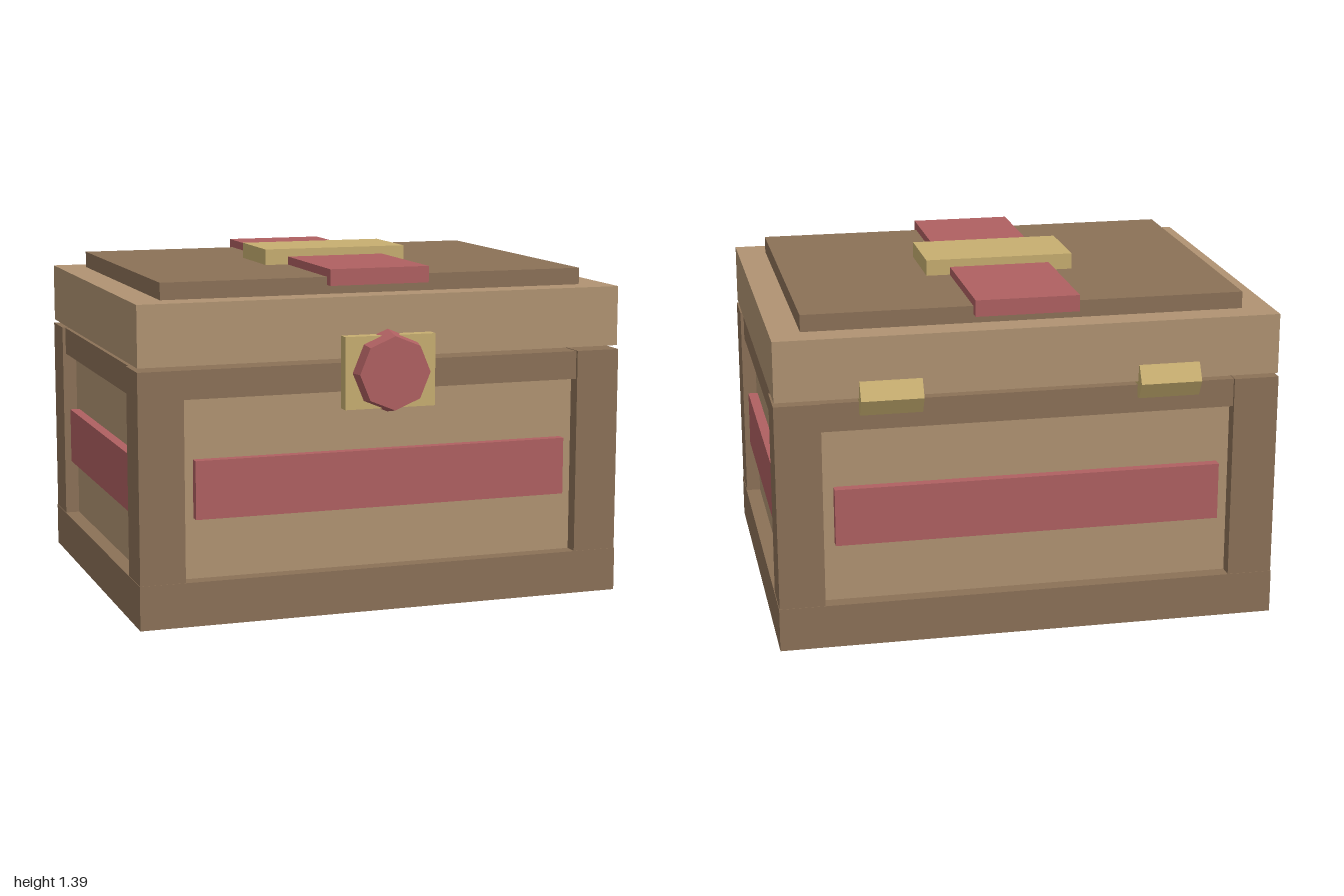
import * as THREE from 'three';

const material = (name, color) => {
  const m = new THREE.MeshStandardMaterial({ color });
  m.name = name;
  return m;
};

export function createModel() {
  const darkWood = material('dark wood', 0x8b7157);
  const lightWood = material('light wood', 0xb09372);
  const red = material('red paint', 0xaf6061);
  const brass = material('brass', 0xc7ae70);

  const chest = new THREE.Group();
  chest.name = 'chest';

  // Box given by its lower and upper corners
  const box = (name, mat, [x0, y0, z0], [x1, y1, z1], parent = chest) => {
    const mesh = new THREE.Mesh(new THREE.BoxGeometry(x1 - x0, y1 - y0, z1 - z0), mat);
    mesh.position.set((x0 + x1) / 2, (y0 + y1) / 2, (z0 + z1) / 2);
    mesh.name = name;
    parent.add(mesh);
    return mesh;
  };

  // Body, built symmetric and then shifted slightly back
  const body = new THREE.Group();
  body.name = 'body';
  body.position.z = -0.025;
  chest.add(body);
  const X = 1, Z = 0.78, recess = 0.06, post = 0.18;

  box('base', darkWood, [-X, 0, -Z], [X, 0.175, Z], body);
  box('panels', lightWood, [-X + recess, 0.17, -Z + recess], [X - recess, 0.99, Z - recess], body);
  box('topRail', darkWood, [-X + 0.015, 0.885, -Z + 0.015], [X - 0.015, 0.998, Z - 0.015], body);

  // Corner posts
  for (const sx of [-1, 1]) {
    for (const sz of [-1, 1]) {
      const p = box('cornerPost', darkWood, [-post / 2, 0.17, -post / 2], [post / 2, 1, post / 2], body);
      p.position.x = sx * (X - 0.002 - post / 2);
      p.position.z = sz * (Z - 0.002 - post / 2);
    }
  }

  // Painted boards on all four sides
  for (const s of [-1, 1]) {
    const long = box('longBoard', red, [-0.77, 0.415, -0.03], [0.77, 0.645, 0.03], body);
    long.position.z = s * (Z - recess + 0.01);
    const short = box('shortBoard', red, [-0.03, 0.415, -0.55], [0.03, 0.645, 0.55], body);
    short.position.x = s * (X - recess + 0.01);
  }

  // Lid
  const lid = new THREE.Group();
  lid.name = 'lid';
  chest.add(lid);
  box('lidSlab', lightWood, [-0.995, 1.015, -0.8], [0.995, 1.255, 0.745], lid);
  box('lidPanel', darkWood, [-0.875, 1.25, -0.685], [0.875, 1.322, 0.63], lid);
  box('lidStrap', red, [-0.205, 1.29, -0.73], [0.205, 1.355, 0.67], lid);
  box('lidPlate', brass, [-0.302, 1.323, -0.192], [0.302, 1.387, 0.132], lid);

  // Latch with a faceted knob
  box('latchPlate', brass, [-0.186, 0.82, 0.745], [0.186, 1.105, 0.795]);
  const knobShape = new THREE.CylinderGeometry(0.145, 0.163, 0.09, 8).toNonIndexed();
  knobShape.computeVertexNormals();
  const knob = new THREE.Mesh(knobShape, red);
  knob.name = 'latchKnob';
  knob.rotation.x = Math.PI / 2;
  knob.position.set(0, 0.963, 0.805);
  chest.add(knob);

  // Six-sided hinge barrels at the back
  const hingeShape = new THREE.CylinderGeometry(0.076, 0.076, 0.243, 6).toNonIndexed();
  hingeShape.computeVertexNormals();
  for (const s of [-1, 1]) {
    const hinge = new THREE.Mesh(hingeShape, brass);
    hinge.name = 'hinge';
    hinge.rotation.z = Math.PI / 2;
    hinge.position.set(s * 0.548, 1.015, -0.774);
    chest.add(hinge);
  }
  return chest;
}
